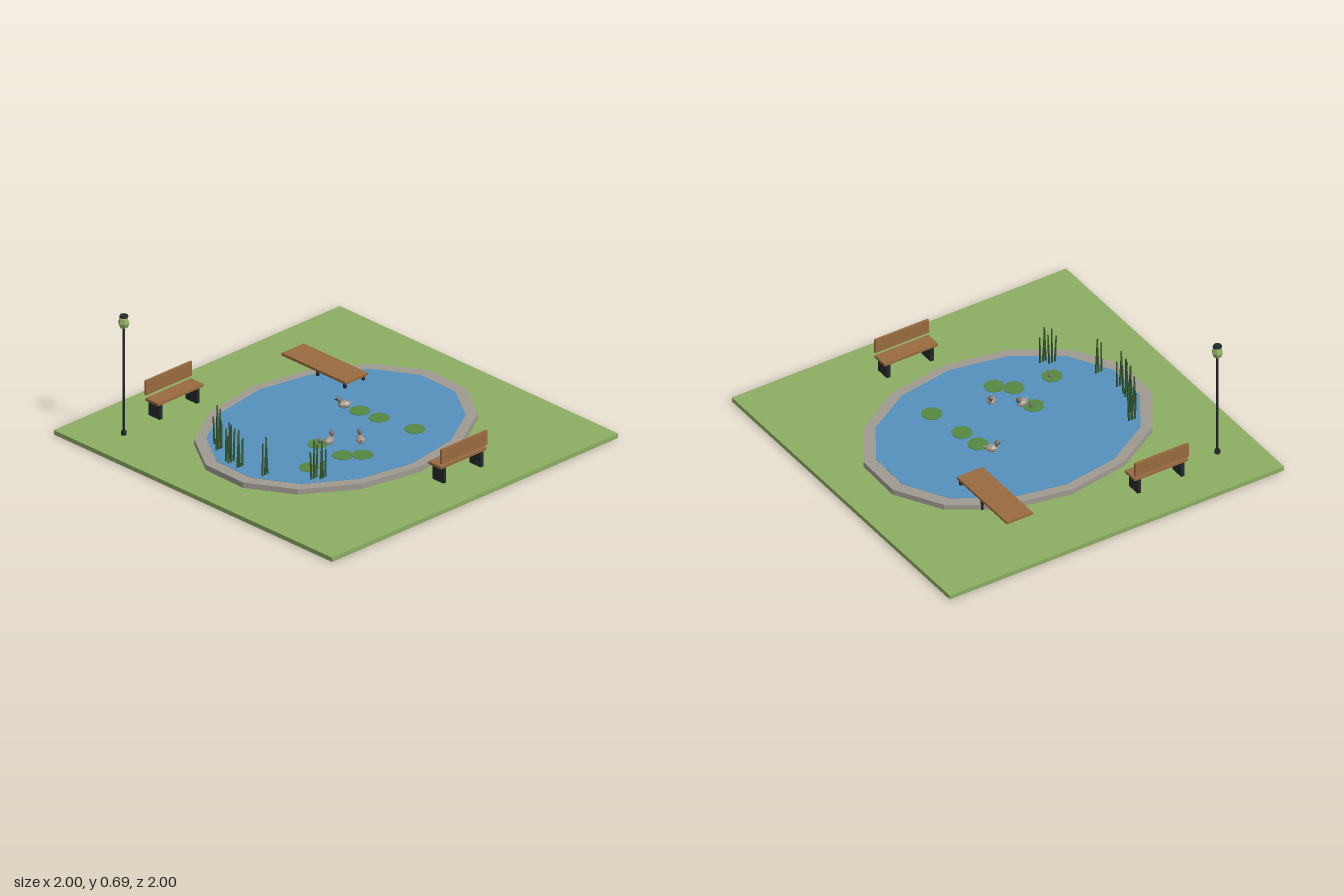
import * as THREE from 'three';

const mat = (name, color) => {
  const m = new THREE.MeshStandardMaterial({ color });
  m.name = name;
  return m;
};

export function createModel() {
  const root = new THREE.Group();
  root.name = 'parkPond';
  const grass = mat('grass', 0x8cad62), stone = mat('stone', 0xa09a90);
  const water = mat('water', 0x5490bc), wood = mat('wood', 0x996b40);
  const iron = mat('iron', 0x24282a), reed = mat('reed', 0x35592f);
  const leaf = mat('lilyLeaf', 0x568741), feather = mat('feather', 0xa0968a);
  const darkFeather = mat('darkFeather', 0x77706a);

  // faceted mesh helper
  const add = (parent, name, geo, material, x = 0, y = 0, z = 0) => {
    const flat = geo.index ? geo.toNonIndexed() : geo;
    flat.computeVertexNormals();
    const mesh = new THREE.Mesh(flat, material);
    mesh.name = name;
    mesh.position.set(x, y, z);
    parent.add(mesh);
    return mesh;
  };
  const box = (w, h, d) => new THREE.BoxGeometry(w, h, d);
  const cyl = (r, h, n, r2 = r) => new THREE.CylinderGeometry(r2, r, h, n);
  const group = (name, x, y, z, turn = 0) => {
    const g = new THREE.Group();
    g.name = name;
    g.position.set(x, y, z);
    g.rotation.y = turn;
    root.add(g);
    return g;
  };

  // lawn, stone basin and water, the pond being a stretched 14-sided disc
  add(root, 'lawn', box(2, 0.024, 2), grass, 0, 0.013, 0);
  const pond = (h, s) => new THREE.CylinderGeometry(1, 1, h, 14, 1, false, -0.02).scale(0.79 * s, 1, 0.617 * s);
  add(root, 'stoneBasin', pond(0.055, 1), stone, 0, 0.0275, 0);
  add(root, 'water', pond(0.004, 0.915), water, 0, 0.0545, 0);

  // lily pads, two with a small bud
  [[-0.205, 0.08], [-0.42, 0.24], [-0.205, 0.26], [-0.13, 0.325], [0.205, -0.04], [0.22, 0.085], [0.26, 0.3]]
    .forEach(([x, z]) => add(root, 'lilyPad', cyl(0.055, 0.003, 8), leaf, x, 0.0585, z));
  [[-0.405, 0.237], [-0.19, 0.078]].forEach(([x, z]) =>
    add(root, 'lilyBud', new THREE.SphereGeometry(0.012, 6, 4), darkFeather, x, 0.069, z));

  // reed clumps: three or four leaning stems in a row
  [[-0.555, -0.285], [-0.6, -0.225], [-0.65, -0.105], [-0.657, -0.078],
    [-0.662, -0.01], [-0.635, 0.143], [-0.485, 0.34], [-0.45, 0.37]].forEach(([x, z], i) => {
    const clump = group('reedClump', x, 0.05, z);
    [-0.017, 0, 0.017].forEach((dx, k) => {
      const h = [0.16, 0.215, 0.185][(k + i) % 3];
      const stem = add(clump, 'reedStem', cyl(0.006, h, 5, 0.004).translate(0, h / 2, 0), reed, dx);
      stem.rotation.z = [0.05, -0.01, -0.04][(k + 2 * i) % 3];
    });
  });

  // benches, backrest on the -z side before turning
  const bench = (x, z, turn) => {
    const g = group('bench', x, 0, z, turn);
    add(g, 'seat', box(0.32, 0.015, 0.09), wood, 0, 0.118, 0.003);
    add(g, 'backrest', box(0.32, 0.08, 0.012), wood, 0, 0.182, -0.042);
    [-1, 1].forEach(s => add(g, 'benchLeg', box(0.02, 0.1, 0.08), iron, s * 0.13, 0.06, 0));
  };
  bench(-0.4, -0.752, 0);
  bench(0.12, 0.752, Math.PI);

  // jetty on posts
  add(root, 'jettyDeck', box(0.155, 0.014, 0.46), wood, 0.398, 0.091, -0.49);
  [-0.28, -0.475].forEach(z => [0.335, 0.463].forEach(x =>
    add(root, 'jettyPost', cyl(0.01, 0.065, 6), iron, x, 0.0525, z)));

  // lamp
  const lamp = group('lamp', -0.783, 0, -0.72);
  add(lamp, 'lampBase', cyl(0.015, 0.022, 6), iron, 0, 0.035, 0);
  add(lamp, 'lampPost', cyl(0.006, 0.6, 6), iron, 0, 0.325, 0);
  add(lamp, 'lampGlobe', new THREE.SphereGeometry(0.03, 6, 4).scale(1, 1.15, 1), grass, 0, 0.651, 0);
  add(lamp, 'lampCap', cyl(0.024, 0.012, 6, 0.022), iron, 0, 0.688, 0);

  // ducks, facing +x before turning
  [[-0.162, 0.117, -0.01, 0.3], [-0.04, 0.217, 0, 0.97], [0.178, -0.122, 0, 2.55]].forEach(([x, z, dy, turn]) => {
    const duck = group('duck', x, 0, z, turn);
    add(duck, 'duckBody', new THREE.SphereGeometry(1, 8, 5).scale(0.036, 0.02, 0.024), feather, 0, 0.074, 0);
    const tail = add(duck, 'duckTail', new THREE.ConeGeometry(0.01, 0.022, 5), feather, -0.034, 0.082, 0);
    tail.rotation.z = 1.1;
    add(duck, 'duckNeck', cyl(0.009, 0.02, 6, 0.007), darkFeather, 0.025, 0.093, 0);
    add(duck, 'duckHead', new THREE.SphereGeometry(0.0135, 6, 5), darkFeather, 0.028, 0.106, 0);
    const bill = add(duck, 'duckBill', new THREE.ConeGeometry(0.006, 0.016, 5), iron, 0.046, 0.104, 0);
    bill.rotation.z = -Math.PI / 2;
  });
  return root;
}
